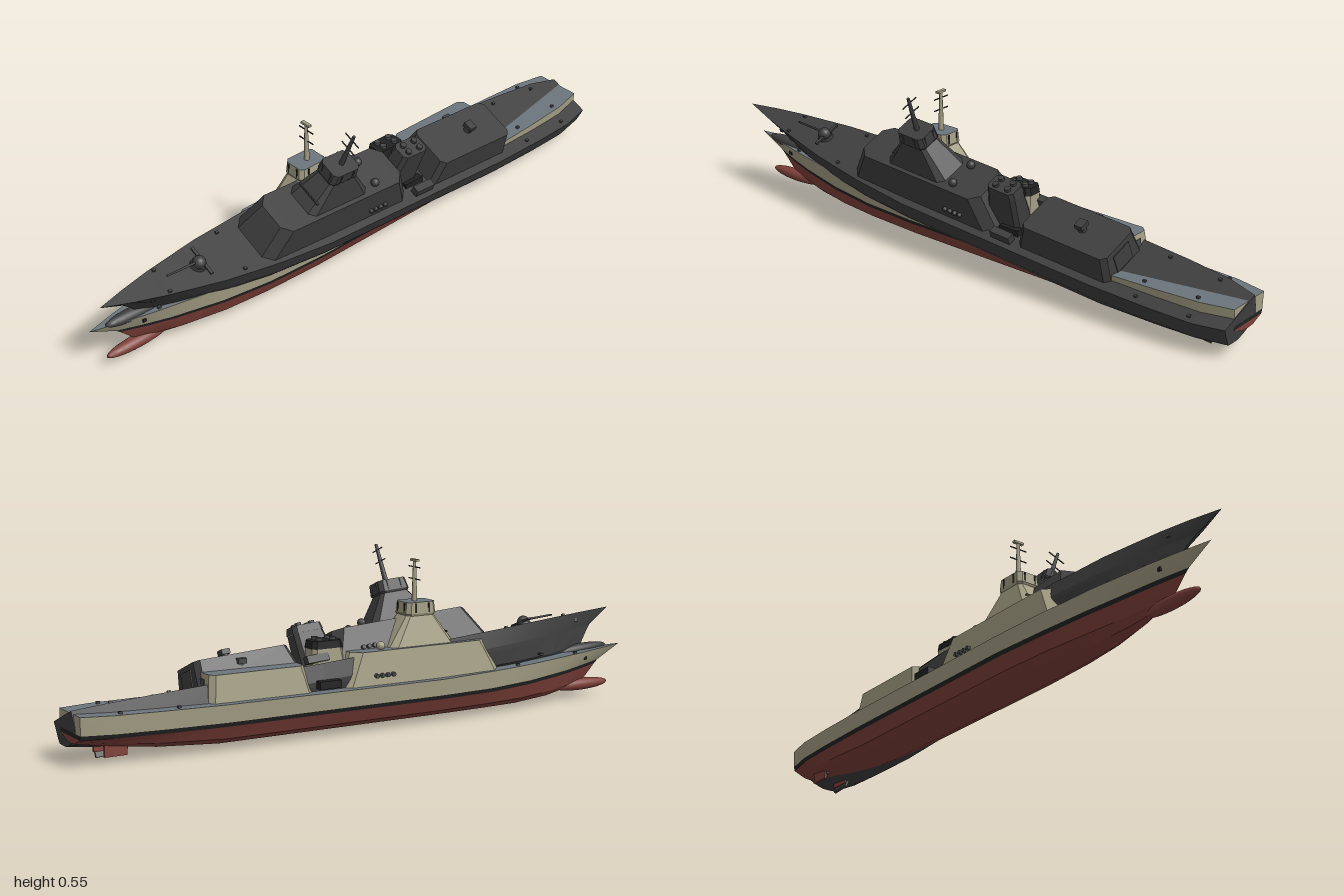
import * as THREE from 'three';
import { toCreasedNormals } from 'three/addons/utils/BufferGeometryUtils.js';

const mat = (name, color) => {
  const m = new THREE.MeshStandardMaterial({ color });
  m.name = name;
  return m;
};

// Piecewise linear lookup in [z, value] pairs
function lerpTable(table, z) {
  for (let i = 1; i < table.length; i++) {
    const [z0, a] = table[i - 1], [z1, b] = table[i];
    if (z <= z1) return a + (b - a) * (z - z0) / (z1 - z0);
  }
  return table[table.length - 1][1];
}

// Surface through rows of [x, y, z] points
function grid(rows, crease = 0.01) {
  const pos = [];
  for (let i = 0; i + 1 < rows.length; i++) {
    const a = rows[i], b = rows[i + 1];
    for (let j = 0; j + 1 < a.length; j++) {
      pos.push(...a[j], ...a[j + 1], ...b[j + 1], ...a[j], ...b[j + 1], ...b[j]);
    }
  }
  const g = new THREE.BufferGeometry();
  g.setAttribute('position', new THREE.Float32BufferAttribute(pos, 3));
  g.computeVertexNormals();
  return toCreasedNormals(g, crease);
}

const mirror = (row) => row.map(([x, y, z]) => [-x, y, z]);

// Hull tables along z
const BEAM = [[-1, 0.078], [-0.9, 0.1], [-0.75, 0.11], [-0.55, 0.117], [0.2, 0.117], [0.4, 0.105], [0.6, 0.083], [0.8, 0.048], [0.9, 0.026], [1, 0]];
const KEEL = [[-1, 0.05], [-0.9, 0.033], [-0.75, 0.014], [-0.55, 0], [0.6, 0], [0.8, 0.008], [1, 0.03]];
const WATER = [[-1, 0.07], [-0.6, 0.065], [0.4, 0.065], [0.6, 0.07], [0.8, 0.08], [1, 0.095]];
const DECK = [[-1, 0.138], [-0.5, 0.132], [0.2, 0.13], [0.5, 0.136], [0.8, 0.147], [1, 0.155]];
const STATIONS = [-1, -0.9, -0.75, -0.55, -0.2, 0.2, 0.3, 0.4, 0.5, 0.6, 0.7, 0.8, 0.9, 1];
// Each level: share of the beam, where it meets the stem, height
const LEVELS = [
  [0, 0.82, (z) => lerpTable(KEEL, z)],
  [0.36, 0.82, (z) => lerpTable(KEEL, z) + 0.002],
  [0.74, 0.85, (z) => lerpTable(KEEL, z) * 0.8 + 0.024],
  [0.92, 0.895, (z) => lerpTable(WATER, z)],
  [0.96, 0.91, (z) => lerpTable(WATER, z) + 0.013],
  [1, 1, (z) => lerpTable(DECK, z)],
];
const levelRow = ([share, stem, height]) => STATIONS.map((z) => [
  lerpTable(BEAM, z) * share, height(z), z > 0.4 ? 0.4 + (z - 0.4) * (stem - 0.4) / 0.6 : z]);

// Right half of a chamfered rectangle, aft to fore
const halfRing = ({ x, z0, z1, c }, y) => [[x - c, y, z0], [x, y, z0 + c], [x, y, z1 - c], [x - c, y, z1]];

function buildShip(p) {
  const ship = new THREE.Group();
  const add = (name, geometry, material, x = 0, y = 0, z = 0) => {
    const m = new THREE.Mesh(geometry, material);
    m.name = name;
    m.position.set(x, y, z);
    ship.add(m);
    return m;
  };
  const box = (name, w, h, d, material, x, y, z) => add(name, new THREE.BoxGeometry(w, h, d), material, x, y, z);

  // Hull in three painted bands
  const rows = LEVELS.map(levelRow);
  const band = (name, from, to, material) => {
    const part = rows.slice(from, to + 1);
    add(name + 'Left', grid(part.map((r) => [...r].reverse()), 0.5), material);
    add(name + 'Right', grid(part.map(mirror), 0.5), material);
    const end = part.map((r) => r[0]);
    add(name + 'Transom', grid([mirror(end), end]), material);
  };
  band('lowerHull', 0, 3, p.red);
  band('waterlineStripe', 3, 4, p.black);
  band('upperHull', 4, 5, p.hull);
  add('deck', grid([mirror(rows[5]), rows[5]]), p.deck);

  // Bow bulb and twin rudders
  const bulb = add('bowBulb', new THREE.SphereGeometry(1, 20, 12), p.red, 0, 0.03, 0.835);
  bulb.scale.set(0.022, 0.02, 0.115);
  for (const s of [-1, 1]) {
    box('rudder', 0.008, 0.042, 0.07, p.red, s * 0.04, 0.026, -0.88);
    box('anchor', 0.006, 0.012, 0.012, p.black, s * 0.034, 0.125, 0.83);
  }

  // Sloped house with chamfered corners and a separate roof
  const house = (name, bottom, y0, top, y1, wall, roof) => {
    const b = halfRing(bottom, y0), t = halfRing(top, y1);
    const loop = (h) => [...mirror(h), ...[...h].reverse(), mirror(h)[0]];
    add(name + 'Walls', grid([loop(b), loop(t)]), wall);
    add(name + 'Roof', grid([mirror(t), t]), roof);
  };
  house('deckhouse', { x: 0.092, z0: -0.15, z1: 0.45, c: 0.03 }, 0.125,
    { x: 0.076, z0: -0.1, z1: 0.395, c: 0.03 }, 0.234, p.hull, p.deck);
  house('tower', { x: 0.063, z0: 0.045, z1: 0.285, c: 0.02 }, 0.232,
    { x: 0.036, z0: 0.12, z1: 0.215, c: 0.01 }, 0.33, p.hull, p.deck);
  house('towerCapLower', { x: 0.039, z0: 0.118, z1: 0.22, c: 0.012 }, 0.325,
    { x: 0.042, z0: 0.114, z1: 0.224, c: 0.012 }, 0.332, p.hull, p.hull);
  house('towerCap', { x: 0.042, z0: 0.114, z1: 0.224, c: 0.012 }, 0.332,
    { x: 0.04, z0: 0.118, z1: 0.22, c: 0.012 }, 0.368, p.hull, p.deck);
  house('hangar', { x: 0.09, z0: -0.6, z1: -0.25, c: 0.016 }, 0.125,
    { x: 0.077, z0: -0.59, z1: -0.275, c: 0.016 }, 0.215, p.hull, p.deck);
  house('funnel', { x: 0.04, z0: -0.22, z1: -0.09, c: 0.012 }, 0.125,
    { x: 0.033, z0: -0.22, z1: -0.115, c: 0.012 }, 0.25, p.hull, p.black);
  house('funnelTop', { x: 0.034, z0: -0.222, z1: -0.113, c: 0.012 }, 0.25,
    { x: 0.032, z0: -0.218, z1: -0.118, c: 0.012 }, 0.274, p.black, p.black);

  // Window slots, bridge strip and hangar door
  for (const s of [-1, 1]) {
    box('capWindow', 0.005, 0.03, 0.003, p.black, s * 0.019, 0.35, 0.2225);
    box('capWindowAft', 0.005, 0.03, 0.003, p.black, s * 0.019, 0.35, 0.1155);
    for (const z of [0.145, 0.193]) box('capSideWindow', 0.003, 0.03, 0.005, p.black, s * 0.0415, 0.35, z);
  }
  box('bridgeWindowStrip', 0.09, 0.005, 0.006, p.black, 0, 0.268, 0.258);
  const door = box('hangarDoor', 0.075, 0.06, 0.005, p.steel, 0, 0.168, -0.5955);
  door.rotation.x = 0.11;

  // Exhausts on the funnel
  for (const z of [-0.145, -0.192]) {
    for (const s of [-1, 1]) {
      add('exhaust', new THREE.CylinderGeometry(0.01, 0.01, 0.012, 12), p.steel, s * 0.014, 0.277, z);
    }
  }

  // Mast with yards
  add('mast', new THREE.CylinderGeometry(0.005, 0.009, 0.128, 8), p.hull, 0, 0.43, 0.165);
  for (const y of [0.437, 0.475]) box('yard', 0.064, 0.003, 0.003, p.black, 0, y, 0.165);
  if (p.mastHead) box('mastHead', 0.036, 0.007, 0.012, p.hull, 0, 0.4965, 0.165);

  // Bow gun
  add('gunBase', new THREE.CylinderGeometry(0.024, 0.026, 0.01, 14), p.steel, 0, 0.146, 0.645);
  add('gunTurret', new THREE.SphereGeometry(0.021, 14, 8), p.steel, 0, 0.157, 0.645);
  const barrel = add('gunBarrel', new THREE.CylinderGeometry(0.003, 0.004, 0.11, 8), p.steel, 0, 0.163, 0.71);
  barrel.rotation.x = Math.PI / 2;
  box('gunArms', 0.105, 0.006, 0.01, p.steel, 0, 0.158, 0.635);

  // Hangar roof gun
  add('roofMount', new THREE.CylinderGeometry(0.012, 0.014, 0.015, 12), p.steel, 0, 0.222, -0.455);
  box('roofGun', 0.034, 0.016, 0.028, p.steel, 0, 0.236, -0.455);

  // Domes, boats and life rafts on both sides
  for (const s of [-1, 1]) {
    add('radarDome', new THREE.SphereGeometry(0.014, 12, 8), p.hull, s * 0.045, 0.244, 0.012);
    box('boat', 0.026, 0.024, 0.075, p.black, s * 0.09, 0.152, -0.2);
    for (let i = 0; i < 4; i++) {
      const raft = add('lifeRaft', new THREE.CylinderGeometry(0.007, 0.007, 0.012, 10), p.steel, s * 0.091, 0.16, -0.03 + i * 0.02);
      raft.rotation.z = Math.PI / 2;
    }
  }
  // Deck bollards
  for (const z of [-0.88, -0.7, 0.52, 0.78]) {
    for (const s of [-1, 1]) {
      box('bollard', 0.008, 0.008, 0.01, p.steel, s * lerpTable(BEAM, z) * 0.8, lerpTable(DECK, z) + 0.003, z);
    }
  }
  return ship;
}

export function createModel() {
  const model = new THREE.Group();
  model.name = 'twinShips';

  const painted = buildShip({
    hull: mat('hullBeige', 0xa39e84),
    deck: mat('deckGrey', 0x6c757d),
    red: mat('bottomRed', 0x80413a),
    black: mat('stripeBlack', 0x222222),
    steel: mat('fittingGrey', 0x484a4b),
    mastHead: true,
  });
  painted.name = 'paintedShip';
  painted.position.set(-0.045, 0, 0);

  // Plain copy, heeled over and pitched bow up
  const grey = mat('plainDarkGrey', 0x3e3e3e);
  const plain = buildShip({ hull: grey, deck: grey, red: grey, black: grey, steel: grey, mastHead: false });
  plain.name = 'darkShip';
  plain.position.set(-0.046, 0.061, 0.004);
  plain.rotation.set(-0.07, 0, -0.384);

  model.add(painted, plain);
  return model;
}
